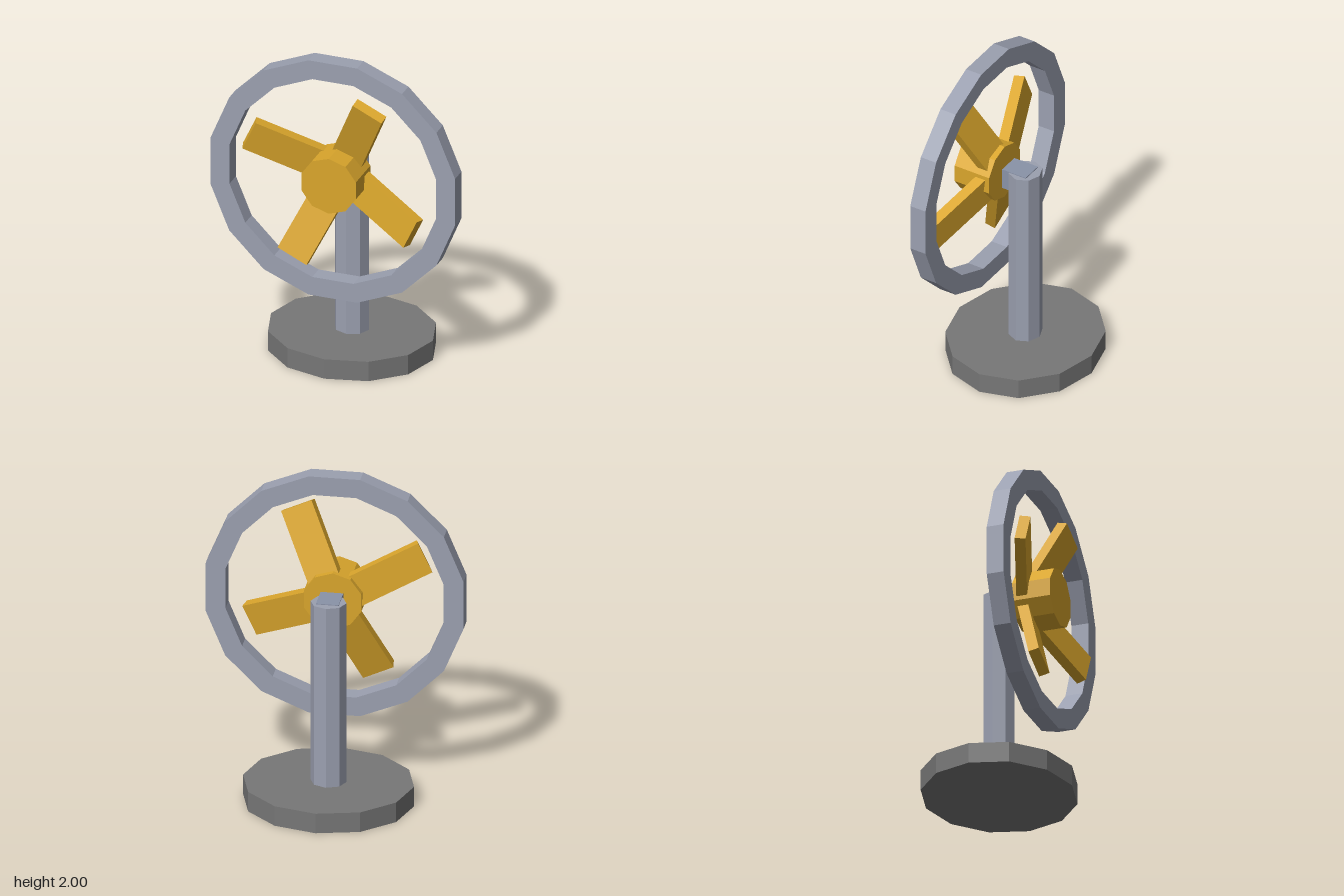
import * as THREE from 'three';

const paint = (color) => new THREE.MeshStandardMaterial({ color, flatShading: true });

export function createModel() {
  const model = new THREE.Group();
  const steel = paint(0x9ba0b0);
  const slate = paint(0x8a93a8);
  const gold = paint(0xdaa62c);
  const grey = paint(0x777777);

  const add = (name, geometry, material, x, y, z, parent = model) => {
    const mesh = new THREE.Mesh(geometry, material);
    mesh.name = name;
    mesh.position.set(x, y, z);
    parent.add(mesh);
    return mesh;
  };

  // Oval foot and post, slightly narrower front to back
  add('base', new THREE.CylinderGeometry(0.51, 0.51, 0.127, 12).scale(1, 1, 0.9), grey, 0, 0.0635, 0);
  add('post', new THREE.CylinderGeometry(0.107, 0.107, 1.18, 8).scale(1, 1, 0.92), steel, 0, 0.702, 0);

  // Block that carries the rotor at the top of the post
  add('mountBlock', new THREE.BoxGeometry(0.136, 0.134, 0.164), slate, 0, 1.23, 0.038);

  // Sixteen-sided guard ring, flat at the top
  const polygon = (radius) => Array.from({ length: 16 }, (_, i) => {
    const a = (i + 0.5) * Math.PI / 8;
    return new THREE.Vector2(radius * Math.cos(a), radius * Math.sin(a));
  });
  const ring = new THREE.Shape(polygon(0.785));
  ring.holes.push(new THREE.Path(polygon(0.663).reverse()));
  add('guardRing', new THREE.ExtrudeGeometry(ring, { depth: 0.106, bevelEnabled: false }), steel, 0, 1.23, 0.211);

  // Rotor: ten-sided hub with four blades leaning forward
  const rotor = new THREE.Group();
  rotor.name = 'rotor';
  rotor.position.y = 1.23;
  model.add(rotor);
  add('hub', new THREE.CylinderGeometry(0.18, 0.18, 0.24, 10).rotateX(Math.PI / 2), gold, 0, 0, 0.265, rotor);

  const length = 0.52, thickness = 0.065;
  const bladeGeometry = new THREE.BoxGeometry(length, 0.2, thickness)
    .translate(-length / 2, 0, thickness / 2);
  for (let i = 0; i < 4; i++) {
    const arm = new THREE.Group();
    arm.name = 'bladeArm';
    arm.rotation.z = THREE.MathUtils.degToRad(65 + 90 * i);
    rotor.add(arm);
    const blade = add('blade', bladeGeometry, gold, 0.579, 0, 0.31, arm);
    blade.rotation.y = -THREE.MathUtils.degToRad(17.5);
  }
  return model;
}
